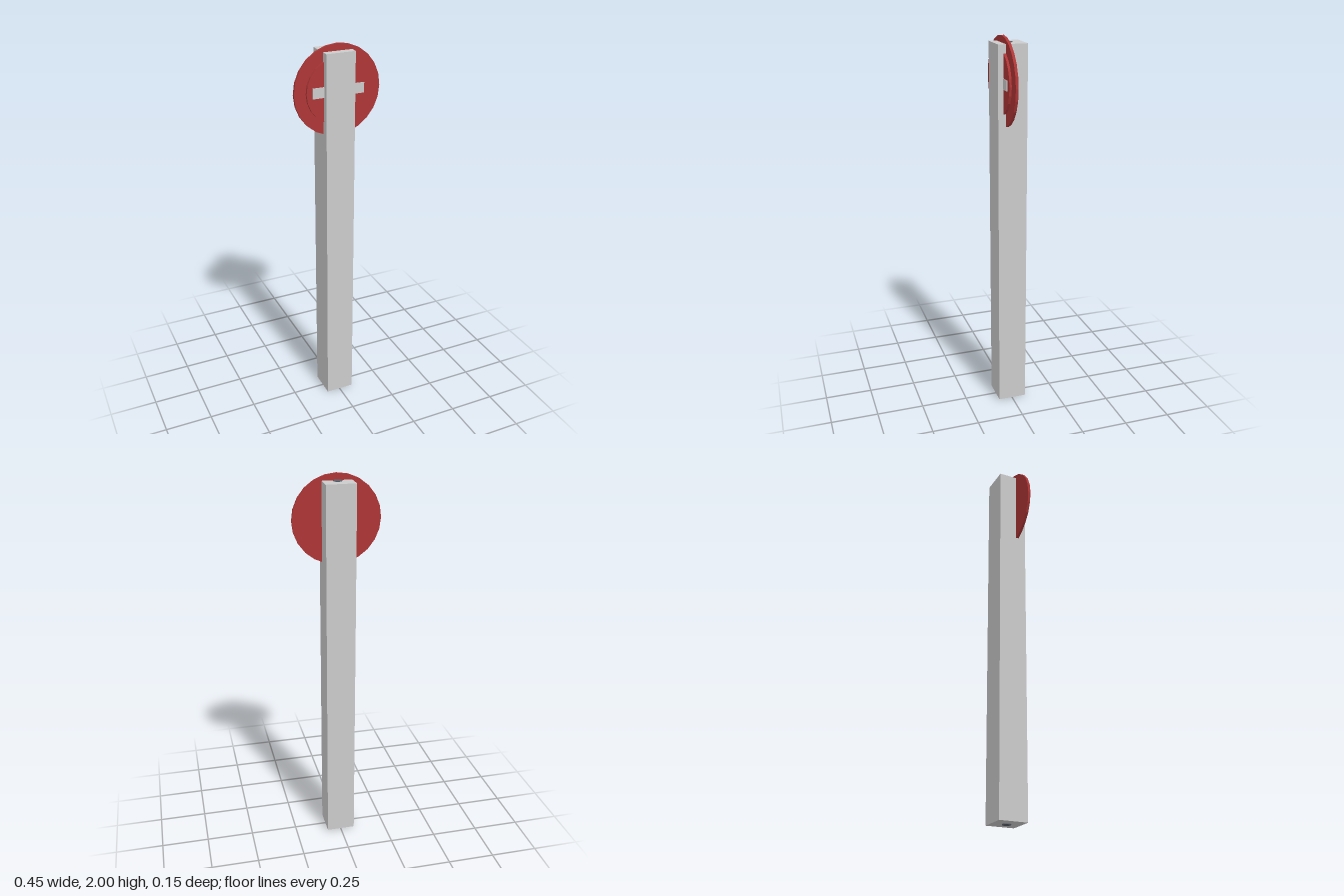
import * as THREE from 'three';

const grey = new THREE.MeshStandardMaterial({ color: 0xcccccc, flatShading: true });
const red = new THREE.MeshStandardMaterial({ color: 0xae3636, flatShading: true });
const dark = new THREE.MeshStandardMaterial({ color: 0x596069, flatShading: true });

export function createModel() {
  const model = new THREE.Group();
  model.name = 'signPost';

  const add = (parent, name, geometry, material, x, y, z) => {
    const mesh = new THREE.Mesh(geometry, material);
    mesh.name = name;
    mesh.position.set(x, y, z);
    parent.add(mesh);
    return mesh;
  };

  // Square post with a thin rod through its core, just showing at both ends
  const bottom = 0.004, top = 1.965, width = 0.152;
  add(model, 'post', new THREE.BoxGeometry(width, top - bottom, width), grey, 0, (top + bottom) / 2, 0);
  const rodTop = top + 0.003;
  add(model, 'coreRod', new THREE.CylinderGeometry(0.0225, 0.0225, rodTop, 10), dark, 0, rodTop / 2, 0);

  // Round sign: backing disc, raised inner disc and horizontal bar, all crossing the post
  const sign = new THREE.Group();
  sign.name = 'sign';
  sign.position.y = 1.774;
  model.add(sign);

  const disc = (name, radius, back, front) => {
    const geometry = new THREE.CylinderGeometry(radius, radius, front - back, 24);
    geometry.rotateX(Math.PI / 2);
    add(sign, name, geometry, red, 0, 0, (back + front) / 2);
  };
  disc('backingDisc', 0.226, 0.022, 0.036);
  disc('innerDisc', 0.166, 0.034, 0.048);
  add(sign, 'signBar', new THREE.BoxGeometry(0.27, 0.052, 0.012), grey, 0, 0.002, 0.046);

  return model;
}
